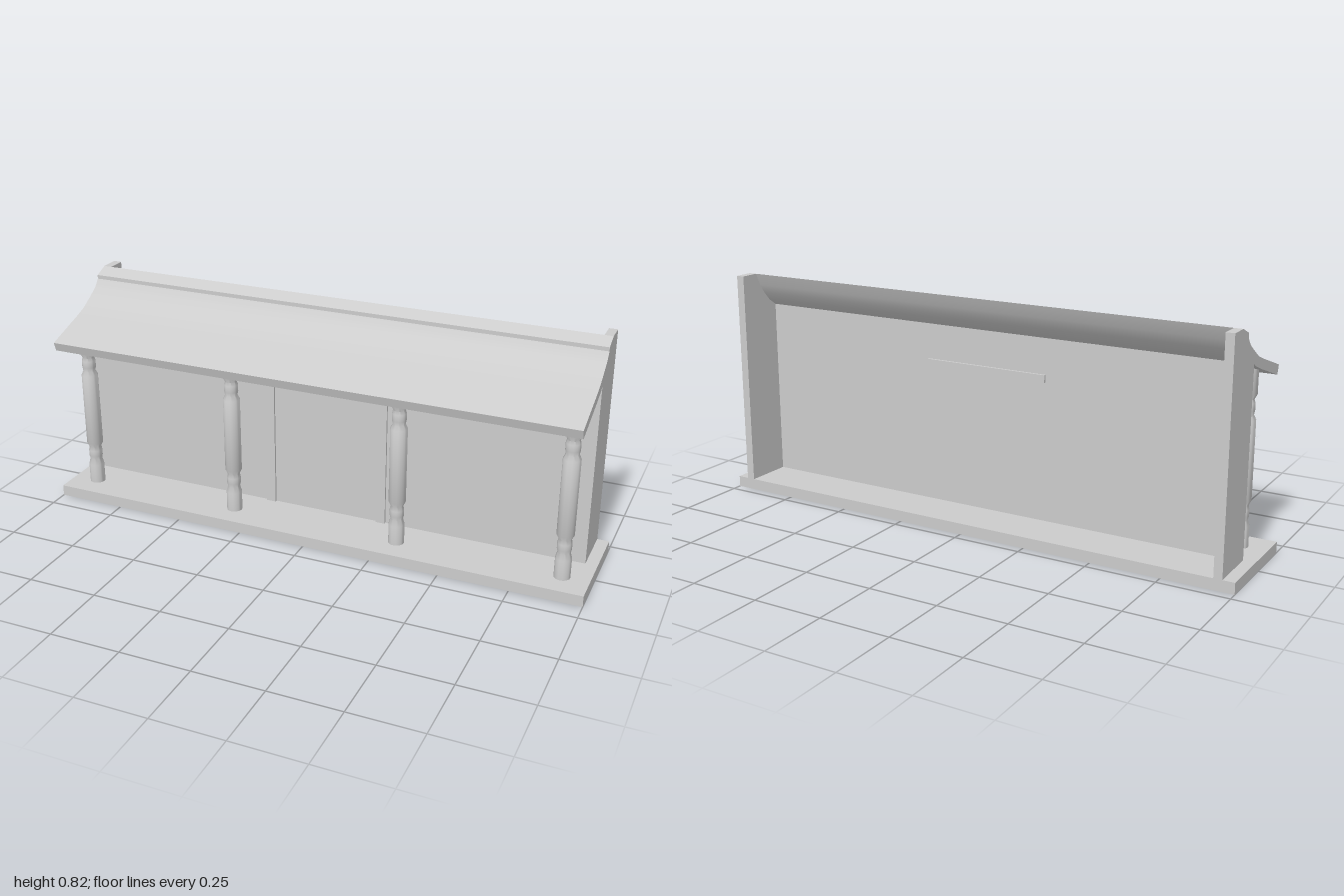
import * as THREE from 'three';
import { toCreasedNormals } from 'three/addons/utils/BufferGeometryUtils.js';

const material = new THREE.MeshStandardMaterial({ color: 0xcccccc });

export function createModel() {
  const model = new THREE.Group();

  const add = (name, geometry) => {
    const mesh = new THREE.Mesh(geometry, material);
    mesh.name = name;
    model.add(mesh);
    return mesh;
  };

  // Box given by its limits on each axis
  const box = (name, x0, x1, y0, y1, z0, z1) =>
    add(name, new THREE.BoxGeometry(x1 - x0, y1 - y0, z1 - z0))
      .position.set((x0 + x1) / 2, (y0 + y1) / 2, (z0 + z1) / 2);

  // Side profile in (z, y), extruded along x and centred on x = 0
  const profile = (name, points, width) => {
    const shape = new THREE.Shape(points.map(([z, y]) => new THREE.Vector2(z, y)));
    const geometry = new THREE.ExtrudeGeometry(shape, { depth: width, bevelEnabled: false });
    geometry.translate(0, 0, -width / 2).rotateY(-Math.PI / 2);
    return add(name, toCreasedNormals(geometry, 0.4));
  };

  // Base board
  box('base', -1, 1, 0, 0.04, -0.215, 0.18);

  // Underside of the roof behind the wall, curving up to the ridge
  const underCurve = [[-0.043, 0.692], [-0.075, 0.714], [-0.103, 0.745], [-0.125, 0.778], [-0.145, 0.822]];

  // Curved roof with overhanging front
  profile('roof', [
    [0.205, 0.605], [0.215, 0.637], [0.1, 0.675], [0.06, 0.688], [0.012, 0.706], [-0.03, 0.731],
    [-0.07, 0.757], [-0.084, 0.772], [-0.095, 0.787], [-0.095, 0.801], [-0.145, 0.822],
    ...underCurve.slice(0, -1).reverse(),
    [-0.03, 0.69], [-0.012, 0.679], [0.05, 0.656],
  ], 1.916);

  // End panels, fitted below and behind the roof
  for (const side of [-1, 1]) {
    profile(side > 0 ? 'leftEndPanel' : 'rightEndPanel', [
      [-0.215, 0.04], [-0.03, 0.04], [-0.03, 0.69], ...underCurve, [-0.215, 0.822],
    ], 0.03).position.x = side * 0.943;
  }

  // Front wall; the back stays open
  box('frontWall', -0.928, 0.928, 0.04, 0.692, -0.043, -0.03);

  // Doorway trim: lintel through the wall and two thin jambs
  box('doorLintel', -0.237, 0.232, 0.538, 0.565, -0.052, -0.01);
  box('doorJamb', -0.235, -0.2, 0.04, 0.538, -0.03, -0.022);
  box('doorJamb', 0.197, 0.232, 0.04, 0.538, -0.03, -0.022);

  // Turned porch columns
  const turning = [
    [0, 0.04], [0.028, 0.04], [0.028, 0.113], [0.022, 0.135], [0.025, 0.148], [0.025, 0.17],
    [0.022, 0.185], [0.03, 0.202], [0.03, 0.477], [0.022, 0.493], [0.025, 0.508], [0.025, 0.533],
    [0.021, 0.545], [0.03, 0.562], [0.03, 0.655], [0, 0.655],
  ].map(([r, y]) => new THREE.Vector2(r, y));
  const columnGeometry = toCreasedNormals(new THREE.LatheGeometry(turning, 24), 0.9);
  for (const x of [-0.905, -0.316, 0.316, 0.905]) {
    add('porchColumn', columnGeometry).position.set(x, 0, 0.084);
  }

  return model;
}
